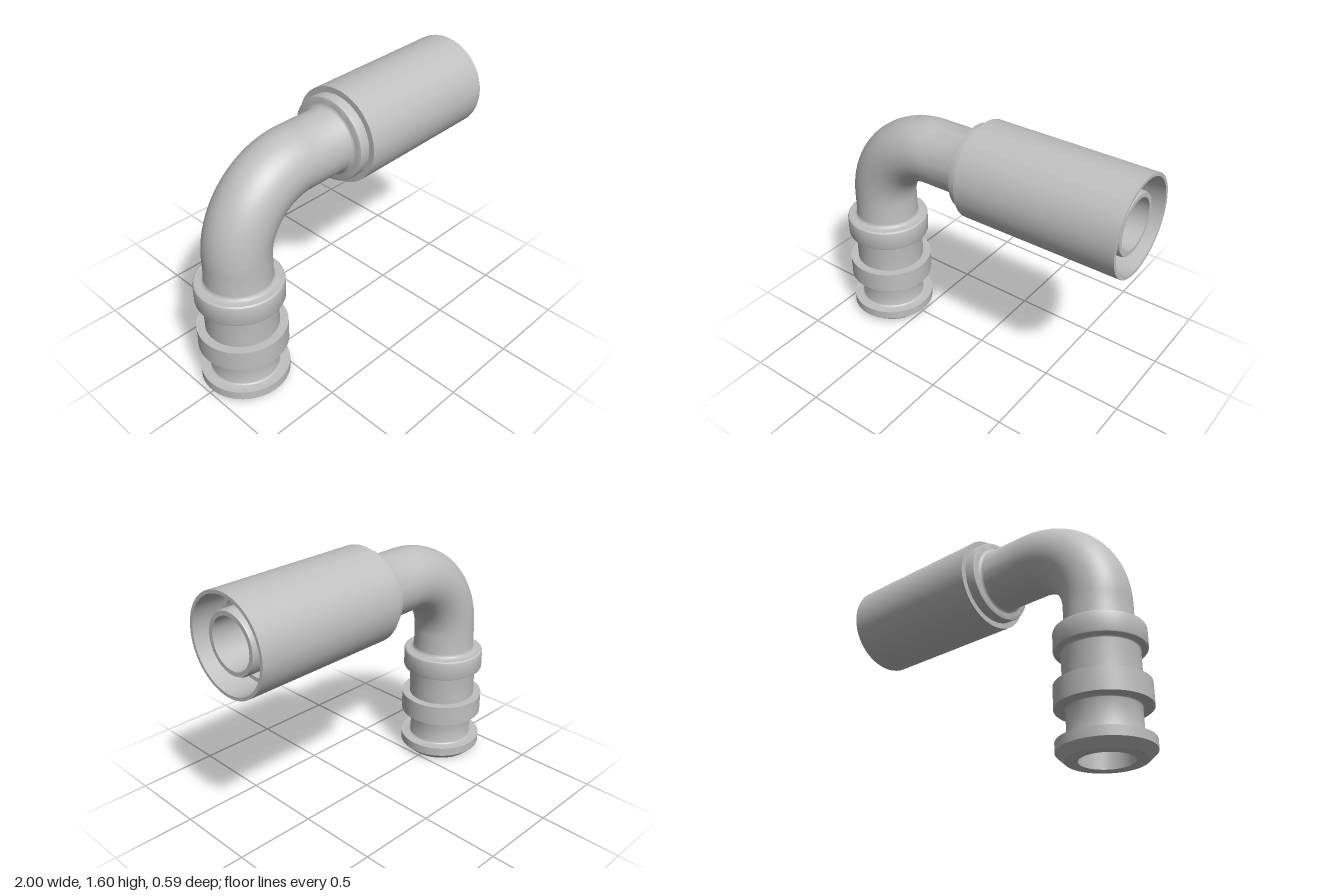
import * as THREE from 'three';
import { toCreasedNormals } from 'three/addons/utils/BufferGeometryUtils.js';

const TUBE = 0.1925, BORE = 0.147, BEND = 0.4275, BEND_Y = 0.88, AXIS_Y = BEND_Y + BEND;

export function createModel() {
  const metal = new THREE.MeshStandardMaterial({ color: 0xbfbfbf, side: THREE.DoubleSide });
  metal.name = 'satin grey metal';

  const root = new THREE.Group();
  root.name = 'elbowFitting';
  const body = new THREE.Group();
  body.name = 'fittingBody';
  body.position.set(-0.7375, 0, 0.0185);
  body.rotation.y = 0.015; // outlet is yawed very slightly
  root.add(body);

  // Revolved part from [radius, distance along axis] pairs
  const turned = (name, profile, horizontal) => {
    const points = profile.map(([r, d]) => new THREE.Vector2(r, d));
    const mesh = new THREE.Mesh(toCreasedNormals(new THREE.LatheGeometry(points, 72), 0.5), metal);
    mesh.name = name;
    if (horizontal) {
      mesh.rotation.z = -Math.PI / 2;
      mesh.position.y = AXIS_Y;
    }
    body.add(mesh);
  };

  // Concave quarter fillet between two [radius, distance] points
  const fillet = (r0, d0, r1, d1, startsAlongAxis) => {
    const out = [];
    for (let i = 0; i <= 5; i++) {
      const a = (i / 5) * Math.PI / 2, s = Math.sin(a), c = 1 - Math.cos(a);
      out.push([r0 + (r1 - r0) * (startsAlongAxis ? c : s), d0 + (d1 - d0) * (startsAlongAxis ? s : c)]);
    }
    return out;
  };

  // Vertical stem with three collars and its bore
  turned('collaredStem', [
    [BORE, BEND_Y], [BORE, 0], [0.215, 0], [0.2625, 0.045], [0.2625, 0.1],
    ...fillet(0.215, 0.1, 0.2, 0.115, false),
    ...fillet(0.2, 0.265, 0.215, 0.28, true),
    [0.2625, 0.28], [0.2625, 0.41], [0.213, 0.41],
    ...fillet(0.213, 0.59, 0.225, 0.602, true),
    [0.245, 0.602], [0.252, 0.605], [0.255, 0.612],
    [0.255, 0.715], [0.252, 0.724], [0.243, 0.73],
    ...fillet(0.217, 0.73, TUBE, 0.755, false),
    [TUBE, BEND_Y],
  ]);

  // Quarter bend, outer skin and bore
  class Quarter extends THREE.Curve {
    getPoint(t, target = new THREE.Vector3()) {
      const a = t * Math.PI / 2;
      return target.set(BEND * (1 - Math.cos(a)), BEND_Y + BEND * Math.sin(a), 0);
    }
  }
  for (const [name, radius] of [['elbowTube', TUBE], ['elbowBore', BORE]]) {
    const mesh = new THREE.Mesh(new THREE.TubeGeometry(new Quarter(), 40, radius, 72), metal);
    mesh.name = name;
    body.add(mesh);
  }

  // Straight neck with the flange behind the sleeve
  turned('neckAndFlange', [
    [TUBE, BEND],
    ...fillet(TUBE, 0.672, 0.218, 0.697, true),
    [0.243, 0.697], [0.25, 0.7], [0.2525, 0.707], [0.2525, 0.764],
  ], true);

  // Hollow outer sleeve with a stepped inside wall
  turned('outerSleeve', [
    [0.18, 0.7625], [0.2875, 0.7625], [0.2875, 1.733], [0.268, 1.733],
    [0.264, 1.55], [0.24, 1.55], [0.24, 0.84], [0.18, 0.84],
  ], true);

  // Inner nipple, slightly recessed in the sleeve
  turned('innerNipple', [
    [0.178, 0.8], [0.178, 1.685], [0.172, 1.7], [BORE, 1.7], [BORE, BEND],
  ], true);

  return root;
}
